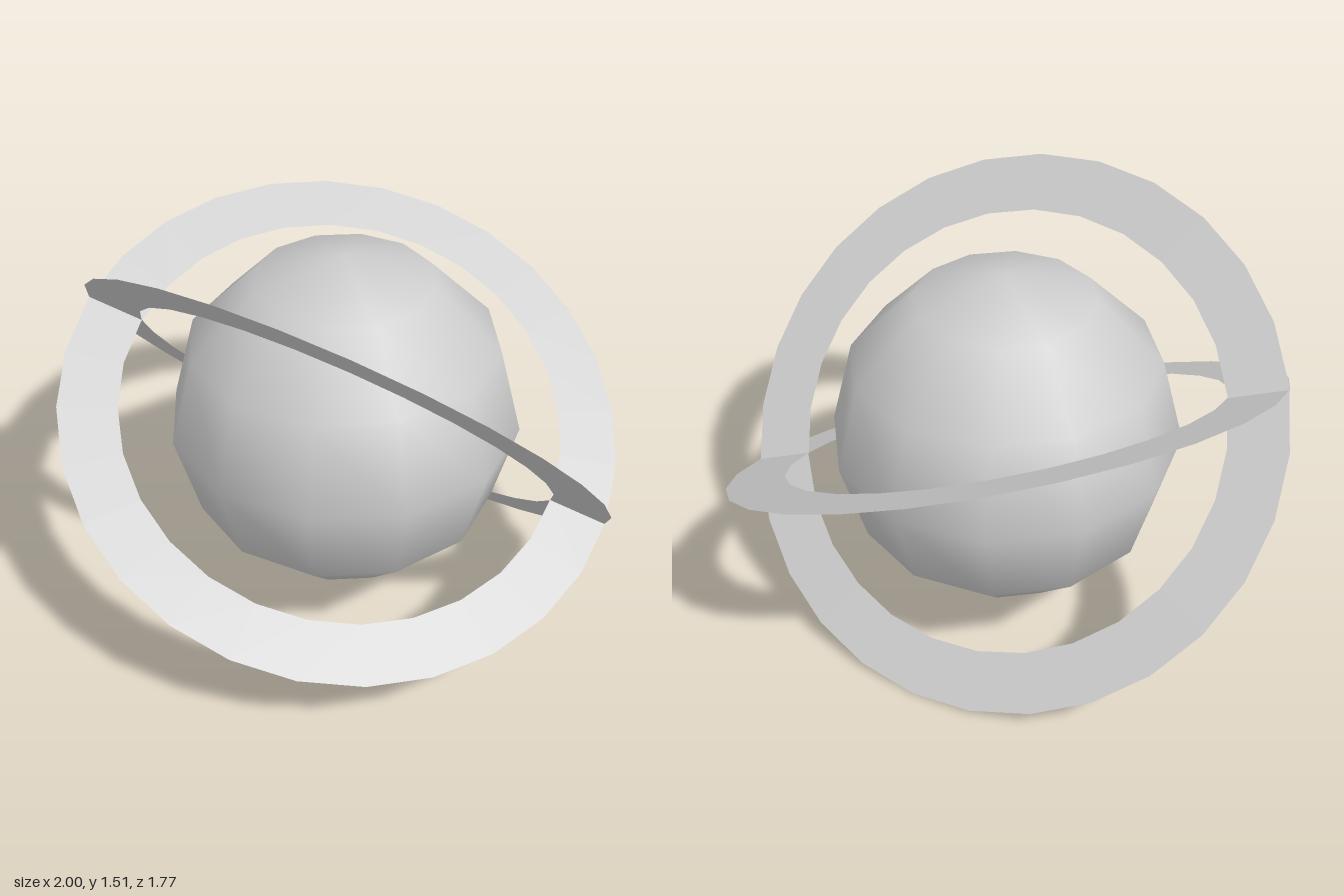
import * as THREE from 'three';

const CENTRE_Y = 0.757;
const rad = THREE.MathUtils.degToRad;

export function createModel() {
  const model = new THREE.Group();
  model.name = 'ringedPlanet';

  const grey = new THREE.MeshStandardMaterial({ color: 0xcccccc, side: THREE.DoubleSide });
  grey.name = 'light grey';

  // Smooth low-poly globe
  const globe = new THREE.Mesh(new THREE.SphereGeometry(0.62, 12, 6), grey);
  globe.name = 'globe';
  globe.position.y = CENTRE_Y;
  model.add(globe);

  // Flat ring lying level, pitched about x and then rolled about z
  const ringGeometry = new THREE.RingGeometry(0.793, 1, 28).rotateX(-Math.PI / 2);
  const addRing = (name, pitch, roll) => {
    const ring = new THREE.Mesh(ringGeometry, grey);
    ring.name = name;
    ring.position.y = CENTRE_Y;
    ring.rotation.set(rad(pitch), 0, rad(roll), 'ZYX');
    model.add(ring);
  };
  addRing('forwardTiltedRing', 28, 0);
  addRing('sidewaysTiltedRing', -28, -42);

  return model;
}
